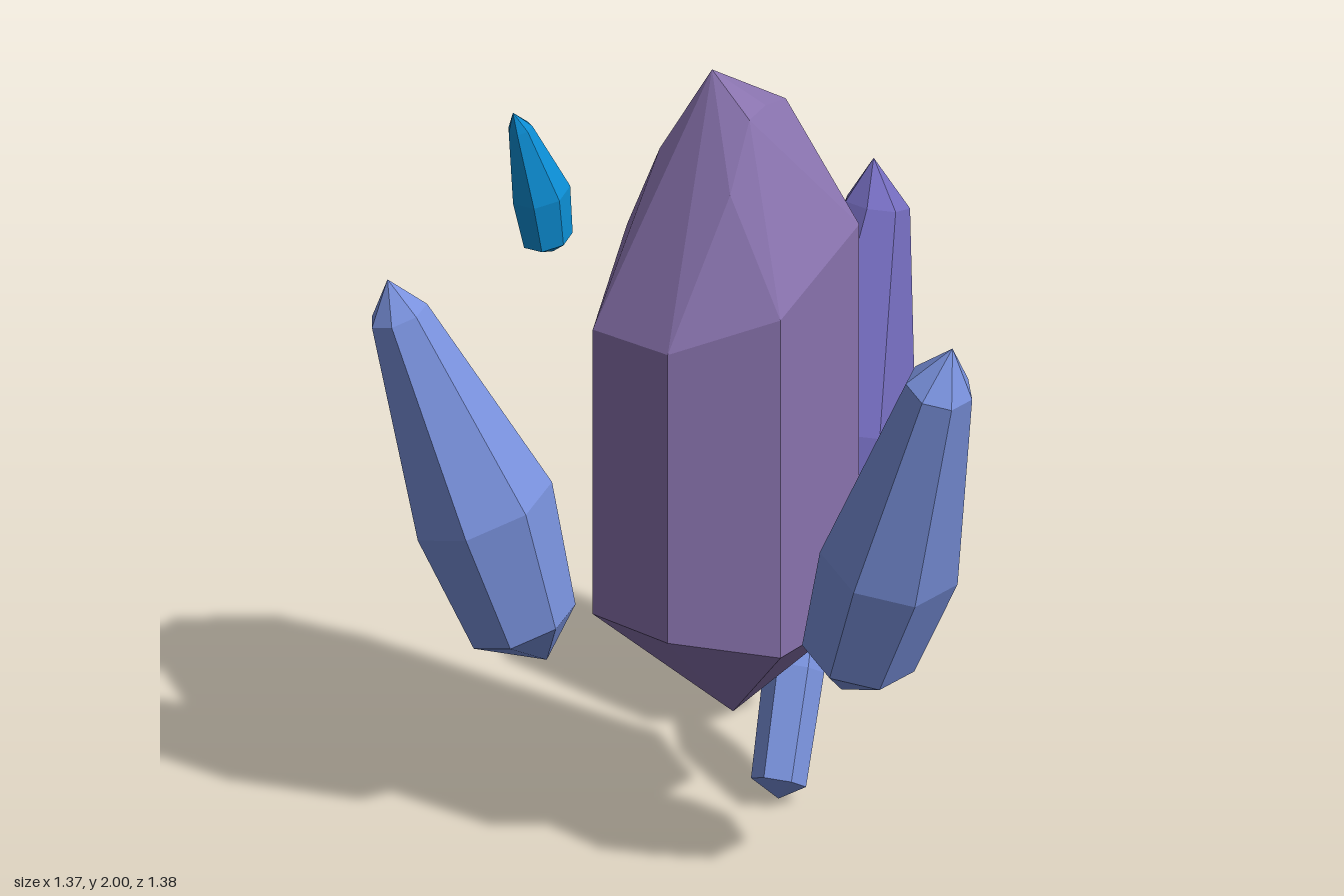
import * as THREE from 'three';
import { ConvexGeometry } from 'three/addons/geometries/ConvexGeometry.js';

const V = (x, y, z) => new THREE.Vector3(x, y, z);

// Faceted solid wrapped tightly around a few corner points
function facetedMesh(name, color, points) {
  const material = new THREE.MeshStandardMaterial({ color, flatShading: true });
  const mesh = new THREE.Mesh(new ConvexGeometry(points), material);
  mesh.name = name;
  return mesh;
}

// Tapered crystal: base point, rings [x, y, z, radius] square to the axis, tip point
function crystal(name, color, base, rings, tip, sides = 7, turn = 0) {
  const first = rings[0], last = rings[rings.length - 1];
  const axis = V(last[0] - first[0], last[1] - first[1], last[2] - first[2]).normalize();
  const tilt = new THREE.Quaternion().setFromUnitVectors(V(0, 1, 0), axis);
  const points = [V(...base), V(...tip)];
  for (const [x, y, z, r] of rings) {
    for (let i = 0; i < sides; i++) {
      const a = turn + (i / sides) * Math.PI * 2;
      points.push(V(Math.cos(a) * r, 0, Math.sin(a) * r).applyQuaternion(tilt).add(V(x, y, z)));
    }
  }
  return facetedMesh(name, color, points);
}

export function createModel() {
  const group = new THREE.Group();
  group.name = 'crystalCluster';

  // Large central crystal: seven uneven columns [x, z, lower y, upper y]
  const columns = [
    [-0.21, 0.04, 0.63, 1.38], [-0.07, 0.23, 0.63, 1.39], [0.195, 0.265, 0.58, 1.47],
    [0.43, 0.06, 0.58, 1.6], [0.4, -0.19, 0.58, 1.6], [0.205, -0.35, 0.6, 1.6],
    [-0.05, -0.315, 0.63, 1.47],
  ];
  const corners = columns.flatMap(([x, z, low, high]) => [V(x, low, z), V(x, high, z)]);
  // Bottom point, then the chipped peak
  corners.push(
    V(0.15, 0.29, -0.055),
    V(0.1, 1.985, -0.06), V(-0.02, 1.775, -0.09), V(0.105, 1.74, 0.12),
    V(0.17, 1.89, 0.035), V(0.22, 1.9, -0.015), V(0.285, 1.875, -0.09), V(0.135, 1.89, -0.2),
  );
  group.add(facetedMesh('centralCrystal', 0x8872ad, corners));

  // Three medium crystals leaning outwards
  group.add(crystal('rightCrystal', 0x7991dc, [-0.28, 0.425, -0.15],
    [[-0.34, 0.53, -0.15, 0.135], [-0.435, 0.84, -0.165, 0.178], [-0.62, 1.33, -0.24, 0.073]],
    [-0.64, 1.41, -0.265], 7, 0.2));
  group.add(crystal('frontCrystal', 0x7991dc, [0.32, 0.535, 0.37],
    [[0.365, 0.63, 0.36, 0.14], [0.42, 0.91, 0.45, 0.172], [0.505, 1.43, 0.61, 0.083]],
    [0.535, 1.53, 0.615], 7, 0.5));
  group.add(crystal('backCrystal', 0x746cbe, [0.45, 0.42, -0.39],
    [[0.445, 0.5, -0.415, 0.16], [0.485, 0.82, -0.495, 0.2], [0.61, 1.33, -0.575, 0.08]],
    [0.605, 1.445, -0.585], 7, 0.3));

  // Small crystal at the foot and small crystal floating above
  group.add(crystal('footCrystal', 0x7991dc, [0.28, 0.0, -0.15],
    [[0.275, 0.055, -0.125, 0.066], [0.34, 0.29, -0.25, 0.072], [0.395, 0.42, -0.335, 0.035]],
    [0.415, 0.455, -0.37], 6, 0.3));
  group.add(crystal('floatingCrystal', 0x0c8fd6, [-0.31, 1.607, 0.06],
    [[-0.325, 1.645, 0.06, 0.062], [-0.343, 1.77, 0.065, 0.073], [-0.395, 1.95, 0.08, 0.03]],
    [-0.415, 2.0, 0.095], 7, 0.2));

  return group;
}
